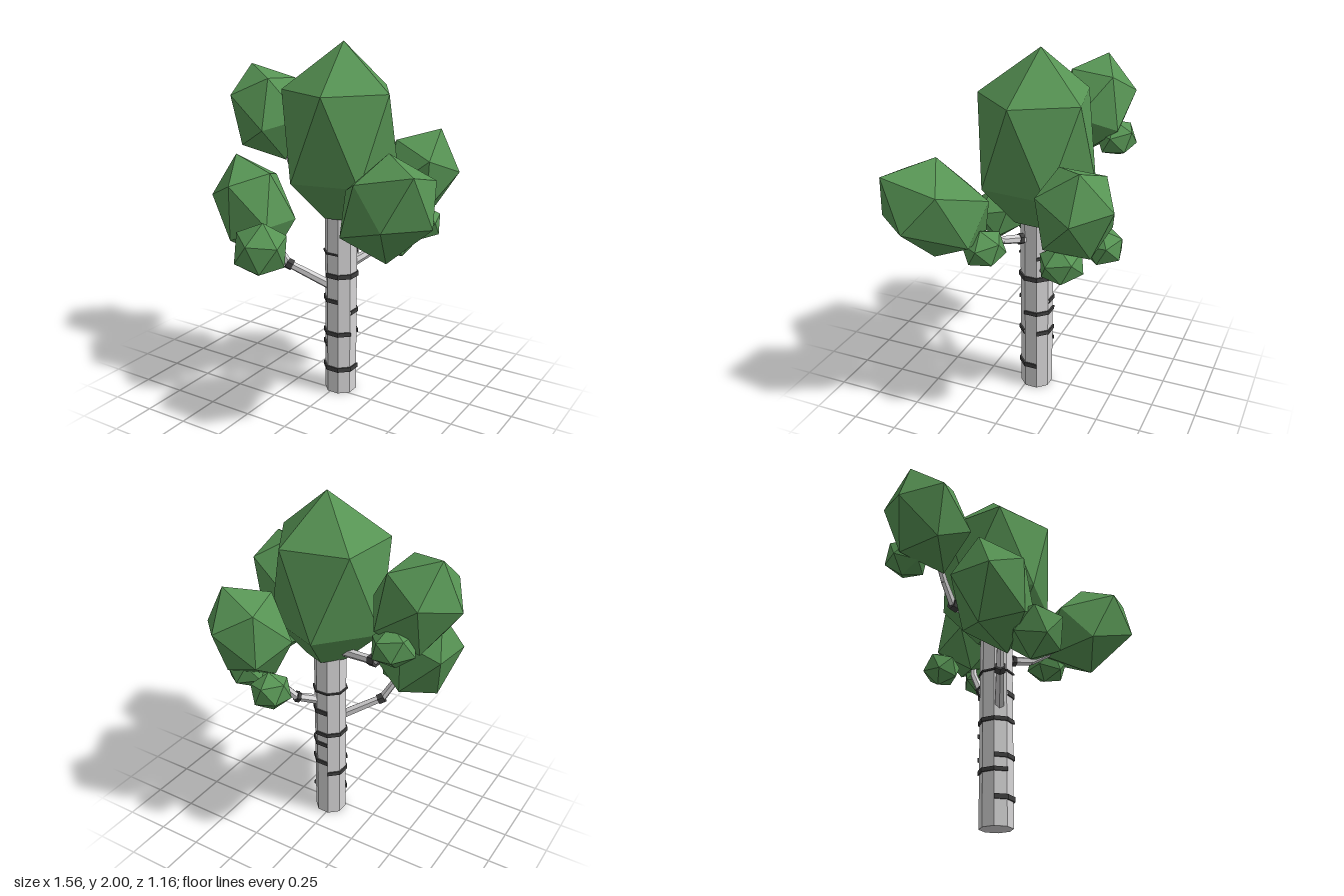
import * as THREE from 'three';
import { ConvexGeometry } from 'three/addons/geometries/ConvexGeometry.js';

const V = (a) => new THREE.Vector3(...a);
const UP = new THREE.Vector3(0, 1, 0);

function material(name, color, side = THREE.FrontSide) {
  const m = new THREE.MeshStandardMaterial({ color, flatShading: true, side });
  m.name = name;
  return m;
}

export function createModel() {
  const tree = new THREE.Group();
  tree.name = 'tree';
  const leaf = material('leafGreen', 0x579454);
  const bark = material('paleBark', 0xd6d5d6);
  const dark = material('darkBark', 0x404040, THREE.DoubleSide);

  const add = (name, geometry, mat, parent = tree) => {
    const mesh = new THREE.Mesh(geometry, mat);
    mesh.name = name;
    parent.add(mesh);
    return mesh;
  };

  // Eight-sided trunk
  const TX = 0.02, TZ = -0.045, R = 0.091, STEP = Math.PI / 4;
  const twist = THREE.MathUtils.degToRad(-24);
  const trunk = add('trunk', new THREE.CylinderGeometry(R, R, 1.2, 8, 1, false, twist), bark);
  trunk.position.set(TX, 0.6, TZ);

  // Bark bands: height, first trunk side (0 is the front), number of sides, thickness
  const bands = [
    [0.15, 7, 4, 0.026], [0.295, 5, 3, 0.022], [0.37, 7, 3, 0.024], [0.37, 3, 2, 0.024],
    [0.5, 2, 3, 0.022], [0.57, 4, 5, 0.022], [0.72, 0, 5, 0.026],
    [0.85, 3, 6, 0.01], [0.85, 3, 1, 0.018],
  ];
  for (const [y, first, count, h] of bands) {
    const g = new THREE.CylinderGeometry(R + 0.009, R + 0.009, h, count, 1, false,
      twist + first * STEP, count * STEP);
    add('barkBand', g, dark).position.set(TX, y, TZ);
  }

  // Straight tapered limb between two points
  function limb(name, a, b, r0, r1, mat, parent) {
    const dir = b.clone().sub(a);
    const mesh = add(name, new THREE.CylinderGeometry(r1, r0, dir.length(), 6), mat, parent);
    mesh.position.copy(a).add(b).multiplyScalar(0.5);
    mesh.quaternion.setFromUnitVectors(UP, dir.normalize());
  }

  // Bent branches, each with one dark ring part way along its first section
  function branch(name, points, ringAt) {
    const group = new THREE.Group();
    group.name = name;
    tree.add(group);
    const p = points.map(V);
    const radii = [0.028, 0.023, 0.02, 0.016];
    for (let i = 0; i < p.length - 1; i++) {
      limb('branchSection', p[i], p[i + 1], radii[i], radii[i + 1], bark, group);
    }
    const a = p[0].clone().lerp(p[1], ringAt - 0.07);
    const b = p[0].clone().lerp(p[1], ringAt + 0.07);
    limb('branchRing', a, b, 0.032, 0.032, dark, group);
  }
  branch('frontRightBranch', [[-0.03, 0.65, 0], [-0.23, 0.77, 0.11], [-0.3, 0.9, 0.15], [-0.4, 1.0, 0.17]], 0.98);
  branch('frontLeftBranch', [[0.06, 0.95, -0.02], [0.2, 0.98, 0.08], [0.3, 1.06, 0.17], [0.4, 1.15, 0.25]], 0.35);
  branch('backLeftBranch', [[0.06, 0.77, -0.09], [0.14, 0.83, -0.21], [0.22, 0.97, -0.3], [0.3, 1.15, -0.36]], 0.95);
  branch('backRightBranch', [[0, 1.11, -0.06], [-0.31, 1.16, -0.135], [-0.38, 1.27, -0.15], [-0.45, 1.4, -0.16]], 0.97);

  // Main crown: apex, two staggered five-sided rings and a small flat base
  const ring = (r, y, start, x = 0.015) => Array.from({ length: 5 }, (_, i) => {
    const a = THREE.MathUtils.degToRad(start + i * 72);
    return new THREE.Vector3(x + r * Math.cos(a), y, -0.04 + r * Math.sin(a));
  });
  add('crown', new ConvexGeometry([
    new THREE.Vector3(0.02, 2, -0.065),
    ...ring(0.312, 1.75, 5), ...ring(0.32, 1.28, 41), ...ring(0.12, 1.06, 41, 0.035),
  ]), leaf);

  // Leaf clusters: stretched icosahedra with the long axis along the given direction
  function cluster(name, centre, axis, length, radius, spin) {
    const g = new THREE.IcosahedronGeometry(1, 0);
    g.rotateX(-Math.atan((1 + Math.sqrt(5)) / 2));
    g.rotateY(spin);
    g.scale(radius, length, radius);
    const mesh = add(name, g, leaf);
    mesh.position.set(...centre);
    mesh.quaternion.setFromUnitVectors(UP, V(axis).normalize());
  }
  cluster('upperRightLeaves', [-0.55, 1.565, -0.165], [-0.45, 0.87, -0.1], 0.3, 0.235, 0.9);
  cluster('middleRightLeaves', [-0.42, 1.09, 0.17], [-0.4, 0.9, -0.05], 0.31, 0.225, 0.2);
  cluster('frontLeftLeaves', [0.5, 1.25, 0.31], [0.6, 0.6, 0.46], 0.355, 0.25, 0.25);
  cluster('backLeftLeaves', [0.315, 1.265, -0.37], [0.38, 0.85, -0.2], 0.285, 0.23, 0.5);

  // Small clusters below the large ones
  const small = [
    [[-0.26, 0.91, 0.33], 0.165, 0.16], [[0.415, 1.03, 0.085], 0.105, 0.122],
    [[0.12, 1.01, -0.465], 0.105, 0.115], [[0.37, 1.0, -0.325], 0.105, 0.127],
    [[-0.51, 1.39, -0.315], 0.11, 0.125],
  ];
  small.forEach(([centre, length, radius], i) =>
    cluster('smallLeaves', centre, [0.2, 1, 0.1], length, radius, i * 0.4));

  return tree;
}
